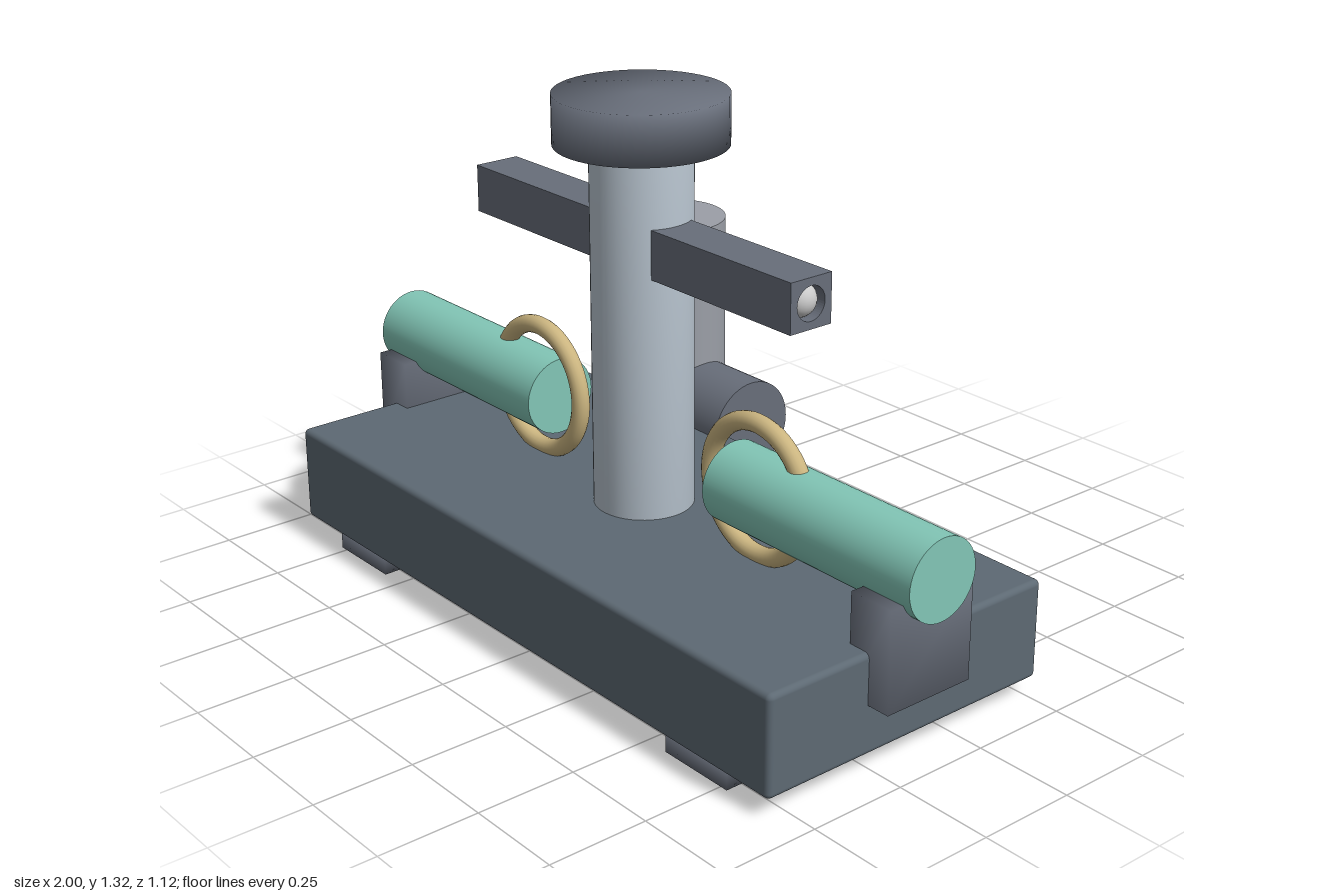
import * as THREE from 'three';
import { mergeVertices } from 'three/addons/utils/BufferGeometryUtils.js';
import { RoundedBoxGeometry } from 'three/addons/geometries/RoundedBoxGeometry.js';

const mat = (color) => new THREE.MeshStandardMaterial({ color });

// Shares corner vertices so shading flows softly across the edges
function soften(geometry) {
  geometry.deleteAttribute('uv');
  geometry.deleteAttribute('normal');
  const merged = mergeVertices(geometry);
  merged.computeVertexNormals();
  return merged;
}

export function createModel() {
  const model = new THREE.Group();
  model.name = 'model';
  const slate = mat(0x5d6973), steel = mat(0xb7c3ce), iron = mat(0x686e7a);
  const grey = mat(0x9b9fa7), mint = mat(0x82c6b6), brass = mat(0xcbb580);
  const pale = mat(0xcccccc);
  const midZ = 0.145;

  function add(name, geometry, material, x, y, z) {
    const mesh = new THREE.Mesh(geometry, material);
    mesh.name = name;
    mesh.position.set(x, y, z);
    model.add(mesh);
    return mesh;
  }
  const rod = (r, length) => new THREE.CylinderGeometry(r, r, length, 48);
  const softBox = (w, h, d) => soften(new THREE.BoxGeometry(w, h, d));

  // Base plate
  add('base', new RoundedBoxGeometry(1.83, 0.25, 0.826, 3, 0.014), slate, 0, 0.17, 0.142);

  // Central column and its cap
  add('column', soften(rod(0.123, 0.93)), steel, 0, 0.74, midZ);
  add('cap', soften(rod(0.207, 0.121)), iron, 0, 1.2545, midZ);

  // Square arm profile with a round bore
  const armShape = new THREE.Shape([
    new THREE.Vector2(-0.06, -0.06), new THREE.Vector2(0.06, -0.06),
    new THREE.Vector2(0.06, 0.06), new THREE.Vector2(-0.06, 0.06),
  ]);
  armShape.holes.push(new THREE.Path().absarc(0, 0, 0.041, 0, Math.PI * 2, true));
  const armGeometry = new THREE.ExtrudeGeometry(armShape, {
    depth: 0.475, bevelEnabled: false, curveSegments: 24,
  });

  // Parts mirrored on both sides
  for (const side of [-1, 1]) {
    const label = side > 0 ? 'left' : 'right';
    const arm = add(label + 'Arm', armGeometry, iron, side * 0.105, 0.962, midZ);
    arm.rotation.y = side * Math.PI / 2;
    add(label + 'ArmBall', new THREE.SphereGeometry(0.042, 24, 16), pale, side * 0.538, 0.962, midZ);

    const barrel = add(label + 'Barrel', rod(0.099, 0.665), mint, side * 0.6675, 0.461, midZ);
    barrel.rotation.z = Math.PI / 2;
    add(label + 'Ring', new THREE.TorusGeometry(0.163, 0.023, 16, 64), brass, side * 0.413, 0.465, midZ);
    add(label + 'Bracket', softBox(0.12, 0.25, 0.247), iron, side * 0.915, 0.295, 0.147);

    for (const [end, z] of [['Front', 0.44], ['Back', -0.145]]) {
      add(label + end + 'Foot', softBox(0.206, 0.06, 0.206), iron, side * 0.667, 0.03, z);
    }
  }

  // Rear tank standing on a horizontal pipe, with a small knob
  add('tank', rod(0.148, 0.498), grey, -0.502, 0.546, -0.353);
  const pipe = add('tankPipe', rod(0.123, 0.332), iron, -0.336, 0.295, -0.353);
  pipe.rotation.z = Math.PI / 2;
  add('tankKnob', softBox(0.12, 0.12, 0.12), mint, -0.502, 0.63, -0.503);

  return model;
}
